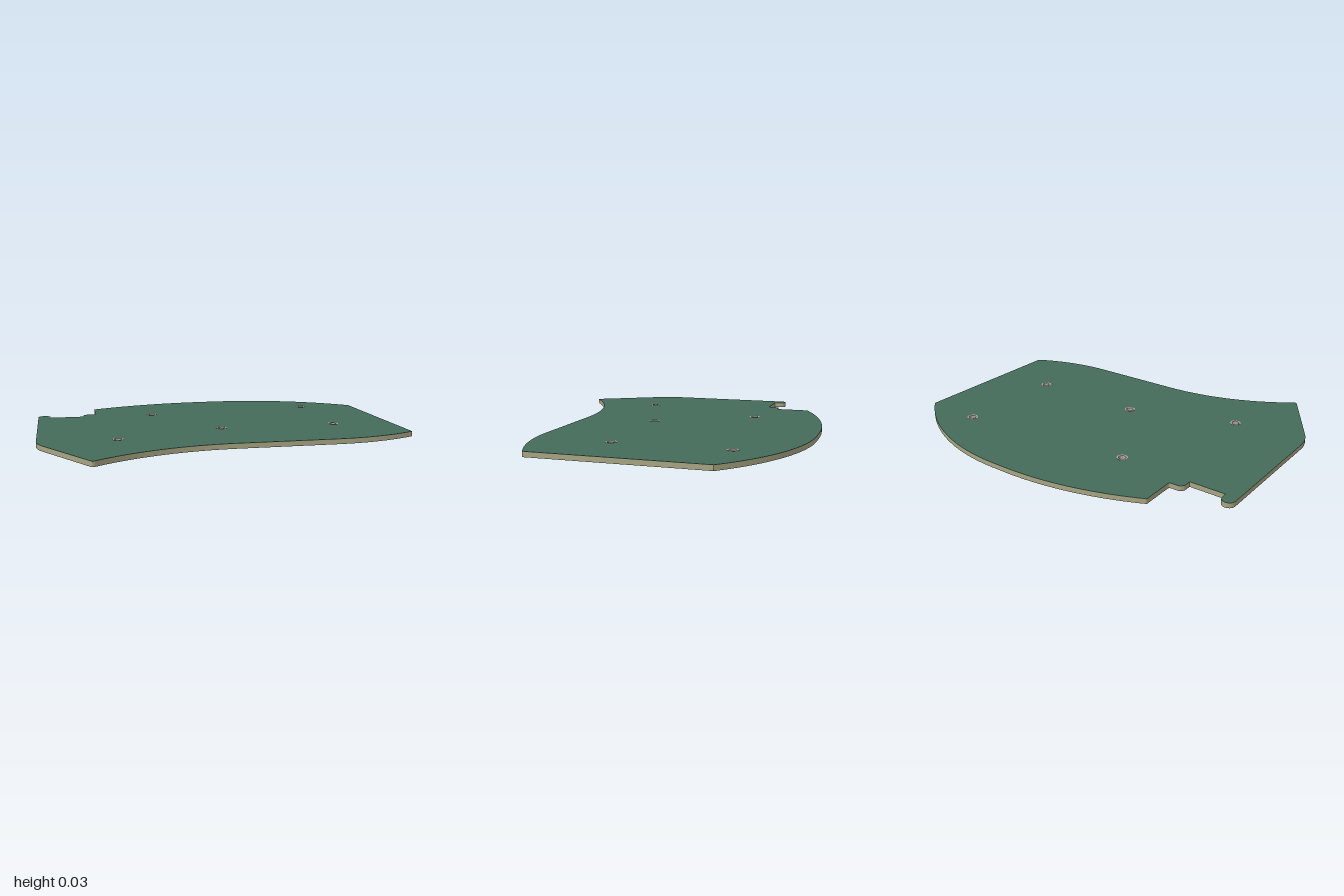
import * as THREE from 'three';
import { toCreasedNormals } from 'three/addons/utils/BufferGeometryUtils.js';

const PI = Math.PI;
const TOP = 0.03;
const HOLES = [[-0.32, -0.38], [0.67, -0.487], [0.005, 0.14], [0.66, 0.14], [-0.585, 0.343]];

// Plan outline of the board, drawn in (x, z)
function outline() {
  const s = new THREE.Shape();
  s.moveTo(-1, 0.31);
  // notch in the back left corner, with its rounded lugs
  s.lineTo(-1, -0.422);
  s.absarc(-0.965, -0.422, 0.035, PI, 2 * PI, false);
  s.lineTo(-0.93, -0.39);
  s.lineTo(-0.733, -0.39);
  s.lineTo(-0.733, -0.425);
  s.absarc(-0.702, -0.425, 0.031, PI, 1.5 * PI, false);
  s.lineTo(-0.672, -0.456);
  s.quadraticCurveTo(-0.657, -0.456, -0.657, -0.471);
  s.lineTo(-0.657, -0.64);
  s.quadraticCurveTo(-0.657, -0.65, -0.65, -0.652);
  // bowed back edge
  s.absarc(0.1, 0.922, 1.742, Math.atan2(-1.574, -0.75), -PI / 2, false);
  s.absarc(0.18, 0.34, 1.16, -PI / 2, -PI / 4, false);
  s.lineTo(1, -0.48);
  // right side and S-shaped front edge
  s.lineTo(1, 0.45);
  s.absarc(0.53, -0.433, 1, Math.atan2(0.883, 0.47), PI / 2, false);
  s.lineTo(0, 0.567);
  s.absarc(0, 1.78, 1.213, -PI / 2, Math.atan2(-0.969, -0.73), true);
  // pointed front corner and slanted side
  s.quadraticCurveTo(-0.743, 0.818, -0.75, 0.803);
  s.lineTo(-0.96, 0.445);
  s.quadraticCurveTo(-1, 0.38, -1, 0.31);
  for (const [x, z] of HOLES) {
    s.holes.push(new THREE.Path().absarc(x, z, 0.024, 0, 2 * PI, true));
  }
  return s;
}

// One flat layer of the board between two heights
function layer(name, shape, y0, y1, color) {
  let geo = new THREE.ExtrudeGeometry(shape, { depth: y1 - y0, bevelEnabled: false, curveSegments: 24 });
  geo.rotateX(PI / 2).translate(0, y1, 0);
  geo = toCreasedNormals(geo, 0.5);
  const mesh = new THREE.Mesh(geo, new THREE.MeshStandardMaterial({ color }));
  mesh.name = name;
  return mesh;
}

export function createModel() {
  const group = new THREE.Group();
  group.name = 'circuitBoard';

  // core with a thin coating on each face
  const shape = outline();
  group.add(
    layer('bottomCoating', shape, 0.001, 0.0025, 0x446b5a),
    layer('boardCore', shape, 0.0025, 0.0275, 0xa8a482),
    layer('topCoating', shape, 0.0275, 0.029, 0x446b5a)
  );

  // plated mounting holes
  const profile = [[0.02, 0], [0.03, 0], [0.03, TOP], [0.02, TOP], [0.02, 0]]
    .map(([r, y]) => new THREE.Vector2(r, y));
  const padGeo = toCreasedNormals(new THREE.LatheGeometry(profile, 32), 0.5);
  const padMat = new THREE.MeshStandardMaterial({ color: 0xb0a4a2 });
  HOLES.forEach(([x, z], i) => {
    const pad = new THREE.Mesh(padGeo, padMat);
    pad.name = `mountingHole${i + 1}`;
    pad.position.set(x, 0, z);
    group.add(pad);
  });
  return group;
}
